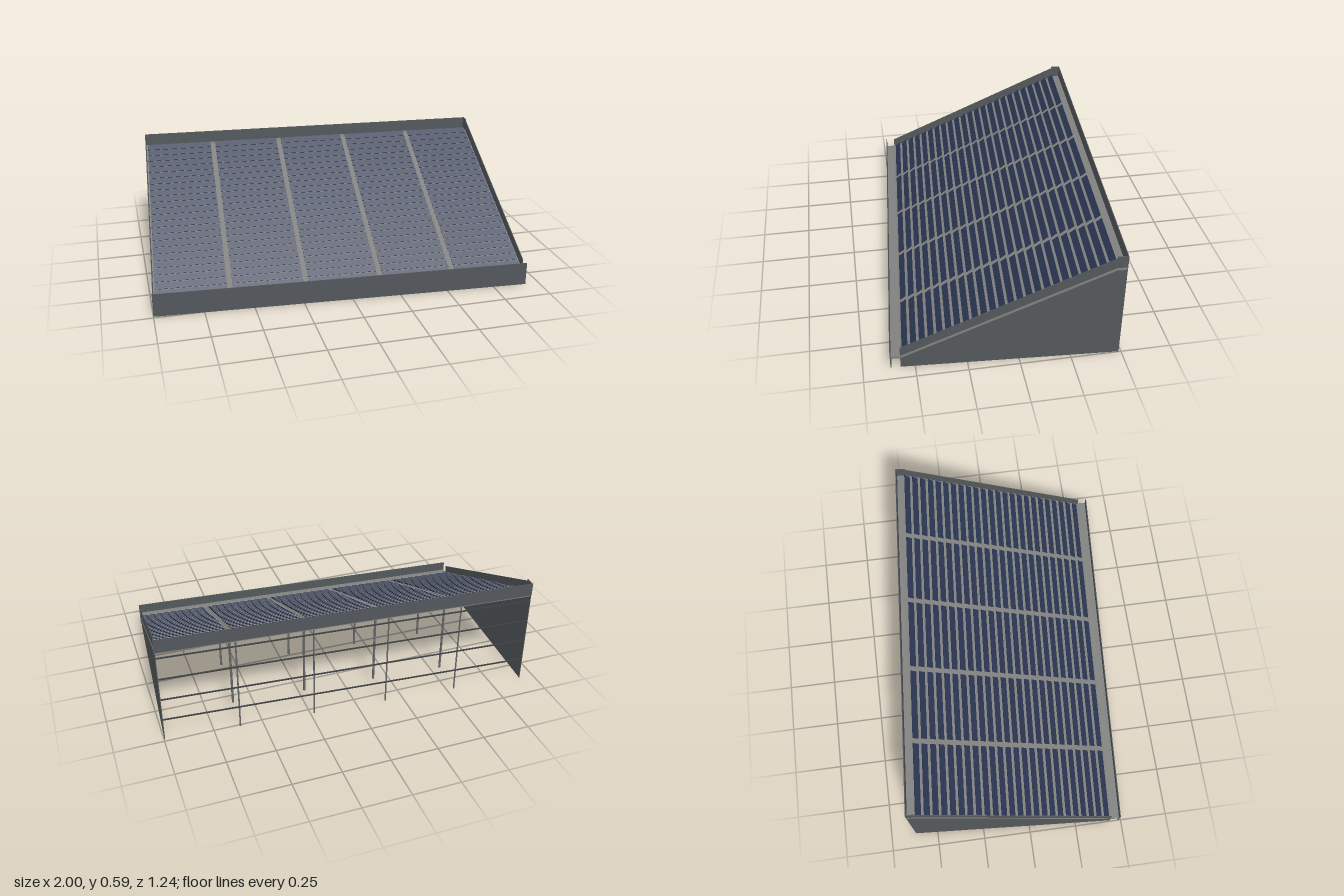
import * as THREE from 'three';
import { mergeGeometries } from 'three/addons/utils/BufferGeometryUtils.js';

const HW = 0.965;    // half width
const HD = 0.5545;   // half depth
const KINK = 0.506;  // where the slope meets the flat front and back edges
const LOW = 0.071, HIGH = 0.526; // roof top at front and back
const BAY = HW * 2 / 5;

const material = (name, color) => {
  const m = new THREE.MeshStandardMaterial({ color });
  m.name = name;
  return m;
};

// Height of the roof's top surface at depth z
const roofY = z => THREE.MathUtils.lerp(LOW, HIGH,
  THREE.MathUtils.clamp((KINK - z) / (2 * KINK), 0, 1));

// Extrudes a (z, y) outline along x, centred on x = 0
function extrudeAcross(points, width) {
  const shape = new THREE.Shape(points.map(p => new THREE.Vector2(...p)));
  const g = new THREE.ExtrudeGeometry(shape, { depth: width, bevelEnabled: false });
  g.translate(0, 0, -width / 2);
  g.rotateY(-Math.PI / 2);
  return g;
}

export function createModel() {
  const model = new THREE.Group();
  model.name = 'slopedSolarRoof';
  const wall = material('slate grey cladding', 0x53585c);
  const roof = material('light grey roof', 0x80817f);
  const solar = material('navy solar cell', 0x2a3552);
  const steel = material('grey steel', 0x66686a);
  const rail = material('dark rail', 0x3e4143);

  // The building stands slightly turned
  const building = new THREE.Group();
  building.name = 'building';
  building.rotation.y = -0.0676;
  model.add(building);

  const add = (name, geometry, mat, x = 0, y = 0, z = 0) => {
    const mesh = new THREE.Mesh(geometry, mat);
    mesh.name = name;
    mesh.position.set(x, y, z);
    building.add(mesh);
    return mesh;
  };

  // Roof slab: flat lip, slope, flat lip
  const t = 0.013;
  add('roofSlab', extrudeAcross([
    [HD - 0.004, LOW], [KINK, LOW], [-KINK, HIGH], [-HD + 0.004, HIGH],
    [-HD + 0.004, HIGH - t], [-KINK, HIGH - t], [KINK, LOW - t], [HD - 0.004, LOW - t],
  ], HW * 2), roof);

  // Side walls rise above the roof as a parapet
  const side = extrudeAcross([
    [KINK, 0], [KINK, 0.12], [-KINK + 0.003, 0.58], [-KINK + 0.003, 0.59],
    [-HD, 0.59], [-HD, 0],
  ], 0.004);
  add('leftWall', side, wall, HW - 0.004);
  add('rightWall', side, wall, -HW + 0.004);

  // Low front wall and high rear fascia
  add('frontWall', new THREE.BoxGeometry(HW * 2, 0.122, 0.004), wall, 0, 0.061, HD - 0.002);
  add('rearFascia', new THREE.BoxGeometry(HW * 2, 0.07, 0.004), wall, 0, 0.555, -HD + 0.002);

  // Tilted solar strips in five bays
  const rows = 24;
  for (let bay = 0; bay < 5; bay++) {
    const strips = [];
    for (let r = 0; r < rows; r++) {
      const z = 0.4825 - r * 0.0425;
      const strip = new THREE.BoxGeometry(BAY - 0.027, 0.003, 0.035);
      strip.rotateX(0.68);
      strip.translate(0, roofY(z) + 0.007, z);
      strips.push(strip);
    }
    add('solarBay', mergeGeometries(strips), solar, (bay - 2) * BAY);
  }

  // Inner posts and thin rear posts on the bay lines
  for (let i = 0; i < 4; i++) {
    const x = (i - 1.5) * BAY;
    for (const z of [0.347, 0, -0.347]) {
      const h = roofY(z) - 0.01;
      add('post', new THREE.CylinderGeometry(0.006, 0.006, h, 10), steel, x, h / 2, z);
    }
    const h = HIGH - t;
    add('rearPost', new THREE.CylinderGeometry(0.004, 0.004, h, 8), steel, x, h / 2, -HD + 0.006);
  }

  // Rear rails
  for (let i = 1; i <= 4; i++) {
    add('rearRail', new THREE.BoxGeometry(HW * 2 - 0.012, 0.006, 0.006), rail,
      0, i * 0.1215, -HD + 0.004);
  }
  return model;
}
